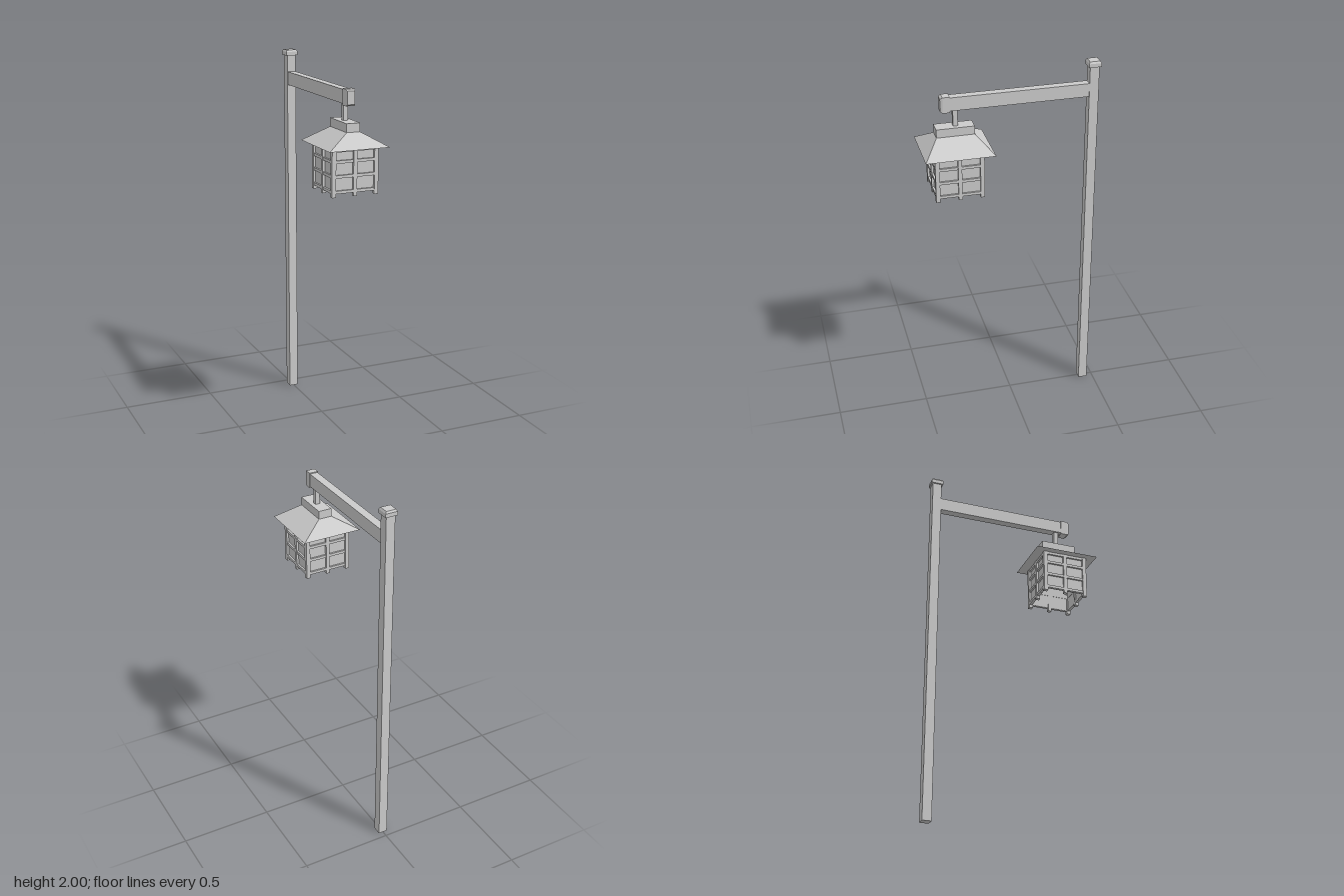
import * as THREE from 'three';

const material = new THREE.MeshStandardMaterial({ color: 0xcccccc, flatShading: true, side: THREE.DoubleSide });

function add(parent, name, geometry, x, y, z) {
  const mesh = new THREE.Mesh(geometry, material);
  mesh.name = name;
  mesh.position.set(x, y, z);
  parent.add(mesh);
  return mesh;
}

const box = (parent, name, w, h, d, x, y, z) =>
  add(parent, name, new THREE.BoxGeometry(w, h, d), x, y, z);

// Box whose top face has its own width and depth
function taperedBox(w, h, d, topW, topD) {
  const g = new THREE.BoxGeometry(w, h, d);
  const p = g.attributes.position;
  for (let i = 0; i < p.count; i++) {
    if (p.getY(i) > 0) p.setXYZ(i, Math.sign(p.getX(i)) * topW / 2, h / 2, Math.sign(p.getZ(i)) * topD / 2);
  }
  g.computeVertexNormals();
  return g;
}

// One lantern wall, facing +z: recessed panel, rails and middle bar
function createWall(half, bottom, top) {
  const wall = new THREE.Group();
  wall.name = 'lanternWall';
  const bar = 0.02;
  box(wall, 'panel', half * 2 - bar, top - bottom, 0.004, 0, (top + bottom) / 2, half - 0.014);
  for (const y of [bottom + 0.008, 1.46, 1.535, top - 0.008]) {
    box(wall, 'rail', half * 2 - bar * 2, 0.015, 0.016, 0, y, half - 0.01);
  }
  box(wall, 'middleBar', bar, top - bottom + 0.018, bar, 0, (top + bottom - 0.018) / 2, half - bar / 2);
  return wall;
}

function createLantern() {
  const lantern = new THREE.Group();
  lantern.name = 'lantern';
  const half = 0.128, bottom = 1.373, top = 1.6;

  for (let i = 0; i < 4; i++) {
    const wall = createWall(half, bottom, top);
    wall.rotation.y = i * Math.PI / 2;
    lantern.add(wall);
  }
  // Corner posts reach below the walls as feet
  for (const sx of [-1, 1]) {
    for (const sz of [-1, 1]) {
      box(lantern, 'cornerPost', 0.022, 0.245, 0.022, sx * (half - 0.011), 1.4775, sz * (half - 0.011));
    }
  }
  // Hipped roof and ridge block
  add(lantern, 'roof', taperedBox(0.33, 0.075, 0.362, 0.074, 0.2), 0, 1.6375, 0);
  box(lantern, 'ridgeBlock', 0.074, 0.046, 0.2, 0, 1.697, 0);
  return lantern;
}

export function createModel() {
  const model = new THREE.Group();
  model.name = 'lampPost';
  const postZ = -0.441, lanternZ = 0.292;

  // Post with chamfered cap
  box(model, 'post', 0.05, 1.98, 0.05, 0, 0.99, postZ);
  box(model, 'postCap', 0.067, 0.02, 0.067, 0, 1.98, postZ);
  add(model, 'postCapTop', taperedBox(0.067, 0.01, 0.067, 0.054, 0.054), 0, 1.995, postZ);

  // Arm with a chamfered end block
  box(model, 'arm', 0.044, 0.072, 0.74, 0, 1.844, -0.05);
  box(model, 'armEnd', 0.05, 0.085, 0.038, 0, 1.843, 0.334);
  const tip = add(model, 'armEndTip', taperedBox(0.05, 0.012, 0.085, 0.042, 0.068), 0, 1.843, 0.359);
  tip.rotation.x = Math.PI / 2;

  // Hanging rod and lantern
  box(model, 'hanger', 0.025, 0.1, 0.025, 0, 1.765, 0.287);
  const lantern = createLantern();
  lantern.position.z = lanternZ;
  model.add(lantern);
  return model;
}
